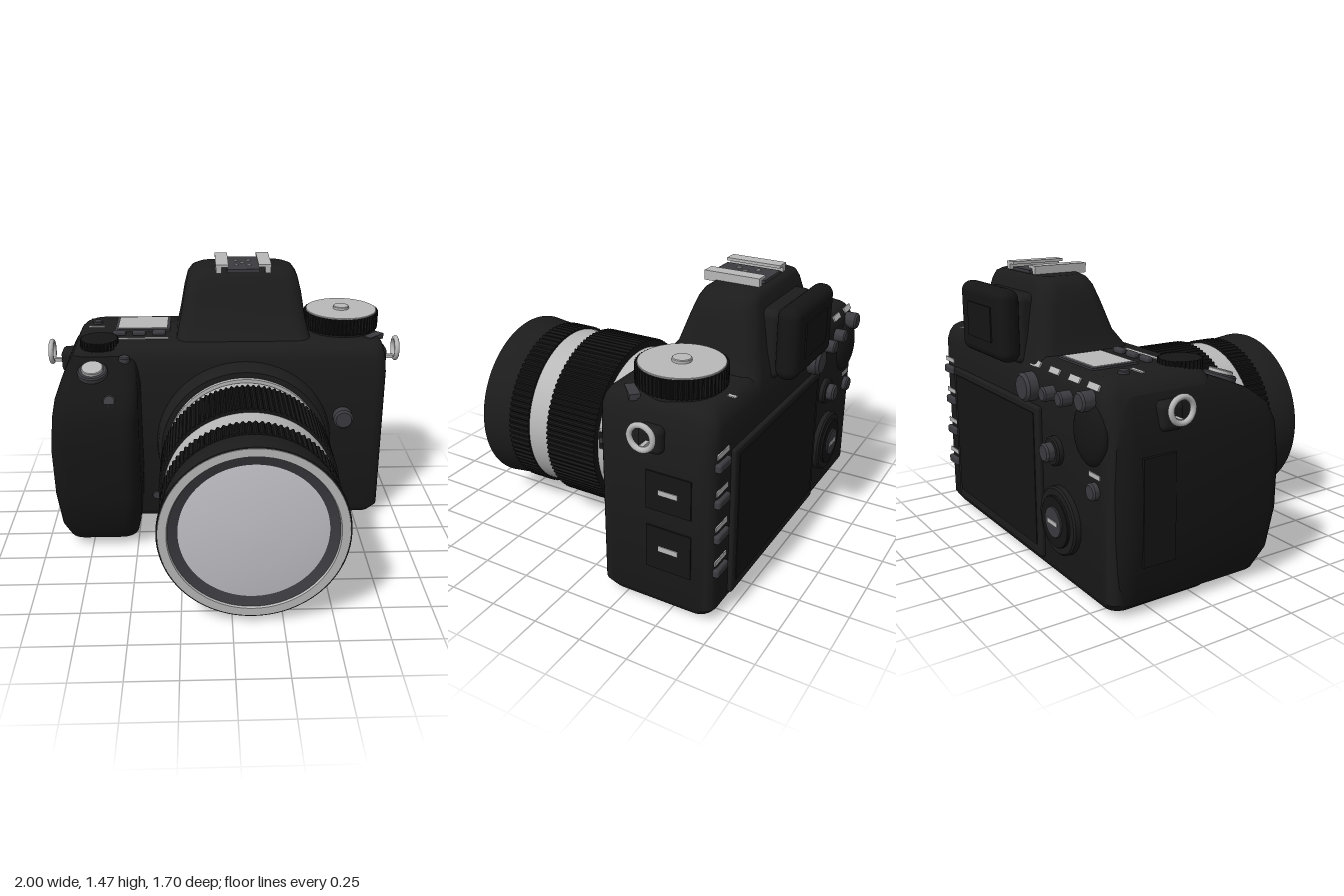
import * as THREE from 'three';
import { toCreasedNormals } from 'three/addons/utils/BufferGeometryUtils.js';
import { RoundedBoxGeometry } from 'three/addons/geometries/RoundedBoxGeometry.js';

const mat = (name, color) => Object.assign(new THREE.MeshStandardMaterial({ color }), { name });

// Closed body through rounded rectangles: [y, x0, x1, z0, z1]
function loft(sections, r, steps = 7) {
  const pos = [], idx = [], n = 4 * steps;
  for (const [y, x0, x1, z0, z1] of sections) {
    for (let c = 0; c < 4; c++) {
      const cx = c === 0 || c === 3 ? x1 - r : x0 + r;
      const cz = c < 2 ? z1 - r : z0 + r;
      for (let k = 0; k < steps; k++) {
        const a = (c + k / (steps - 1)) * Math.PI / 2;
        pos.push(cx + r * Math.cos(a), y, cz + r * Math.sin(a));
      }
    }
  }
  const last = sections.length - 1;
  for (let j = 0; j < last; j++) for (let i = 0; i < n; i++) {
    const a = j * n + i, b = j * n + (i + 1) % n;
    idx.push(a, a + n, b, b, a + n, b + n);
  }
  for (const j of [0, last]) {
    const [y, x0, x1, z0, z1] = sections[j], c = pos.length / 3;
    pos.push((x0 + x1) / 2, y, (z0 + z1) / 2);
    for (let i = 0; i < n; i++) {
      const a = j * n + i, b = j * n + (i + 1) % n;
      j ? idx.push(c, b, a) : idx.push(c, a, b);
    }
  }
  const g = new THREE.BufferGeometry();
  g.setAttribute('position', new THREE.Float32BufferAttribute(pos, 3));
  g.setIndex(idx);
  return toCreasedNormals(g, 0.7);
}

// Turned part from [radius, height] points, bottom to top
const turn = (pts, seg = 72) =>
  toCreasedNormals(new THREE.LatheGeometry(pts.map(p => new THREE.Vector2(...p)), seg), 0.5);

// Knob with slightly bevelled rim, standing on y = 0
const knob = (r, h, seg = 32) => {
  const b = Math.min(r, h) * 0.2;
  return turn([[0, 0], [r, 0], [r, h - b], [r - b, h], [0, h]], seg);
};

// Cylinder with ridges around the rim
function ribbed(r, h, ribs, depth) {
  const g = new THREE.CylinderGeometry(r, r, h, ribs * 4).toNonIndexed(), p = g.attributes.position;
  for (let i = 0; i < p.count; i++) {
    const x = p.getX(i), z = p.getZ(i);
    if (Math.hypot(x, z) < r / 2) continue;
    const k = Math.round(Math.atan2(z, x) / (Math.PI / 2 / ribs)) & 3;
    if (k > 1) p.setXYZ(i, x * (1 - depth / r), p.getY(i), z * (1 - depth / r));
  }
  g.computeVertexNormals();
  return g;
}

export function createModel() {
  const body = mat('body black', 0x1c1c1c), rubber = mat('rubber black', 0x151515);
  const silver = mat('silver', 0xb8b8b8), gray = mat('dark gray', 0x3b3b40);
  const glass = mat('glass', 0xc2c2c8);
  const root = new THREE.Group();
  root.name = 'camera';
  const add = (name, geo, m, x = 0, y = 0, z = 0, parent = root) => {
    const mesh = new THREE.Mesh(geo, m);
    mesh.name = name;
    mesh.position.set(x, y, z);
    parent.add(mesh);
    return mesh;
  };
  const box = (name, m, w, h, d, x, y, z) => add(name, new THREE.BoxGeometry(w, h, d), m, x, y, z);
  const round = (name, m, w, h, d, r, x, y, z) => add(name, new RoundedBoxGeometry(w, h, d, 4, r), m, x, y, z);
  const front = g => g.rotateX(Math.PI / 2), back = g => g.rotateX(-Math.PI / 2);

  // Main body, hand grip and viewfinder hump
  add('body', loft([
    [0.01, -0.82, 0.83, -0.66, -0.19], [0.025, -0.85, 0.86, -0.69, -0.16], [0.07, -0.88, 0.89, -0.72, -0.13],
    [0.9, -0.88, 0.89, -0.72, -0.13], [0.99, -0.85, 0.88, -0.72, -0.13], [1.03, -0.83, 0.87, -0.71, -0.14],
    [1.06, -0.8, 0.86, -0.69, -0.16], [1.075, -0.77, 0.84, -0.67, -0.19]], 0.07), body);
  add('handGrip', loft([
    [0.015, -0.82, -0.54, -0.64, 0.02], [0.05, -0.88, -0.5, -0.68, 0.13], [0.15, -0.91, -0.48, -0.69, 0.19],
    [0.35, -0.93, -0.47, -0.69, 0.22], [0.6, -0.935, -0.47, -0.69, 0.22], [0.78, -0.92, -0.47, -0.69, 0.21],
    [0.87, -0.905, -0.47, -0.69, 0.17], [0.94, -0.88, -0.48, -0.68, 0.08],
    [0.98, -0.86, -0.49, -0.67, -0.02], [1.02, -0.83, -0.51, -0.65, -0.12]], 0.085), rubber);
  add('viewfinderHump', loft([
    [1.0, -0.31, 0.51, -0.72, -0.14], [1.07, -0.27, 0.47, -0.71, -0.2], [1.16, -0.25, 0.447, -0.69, -0.27],
    [1.3, -0.225, 0.425, -0.67, -0.32], [1.38, -0.205, 0.405, -0.65, -0.35],
    [1.415, -0.18, 0.38, -0.64, -0.37], [1.43, -0.15, 0.35, -0.62, -0.39]], 0.08), body);
  round('eyepieceNeck', body, 0.42, 0.34, 0.12, 0.04, 0.1, 1.18, -0.68);
  round('eyecup', rubber, 0.48, 0.35, 0.11, 0.05, 0.1, 1.205, -0.785);
  box('eyepieceWindow', rubber, 0.26, 0.17, 0.008, 0.1, 1.205, -0.842);

  // Accessory shoe
  box('shoeBase', gray, 0.18, 0.02, 0.28, 0.1, 1.435, -0.47);
  for (const s of [-1, 1]) {
    box('shoeSide', silver, 0.03, 0.045, 0.28, 0.1 + s * 0.135, 1.445, -0.47);
    box('shoeRail', silver, 0.07, 0.014, 0.28, 0.1 + s * 0.117, 1.463, -0.47);
  }
  for (const [x, z] of [[0, 0], [-0.035, -0.05], [0.035, -0.05], [-0.035, 0.05], [0.035, 0.05]])
    add('shoeContact', knob(0.012, 0.006, 12), silver, 0.1 + x, 1.444, -0.47 + z);

  // Lens, turned about its own axis
  const lens = new THREE.Group();
  lens.name = 'lens';
  lens.position.set(0.1, 0.497, 0);
  root.add(lens);
  const lathe = (name, m, pts) => add(name, front(turn(pts, 96)), m, 0, 0, 0, lens);
  const ribs = (name, r, z0, z1, n) =>
    add(name, front(ribbed(r, z1 - z0, n, 0.01)), rubber, 0, 0, (z0 + z1) / 2, lens);
  lathe('mountBase', body, [[0.49, -0.14], [0.48, -0.07], [0.46, -0.04], [0.3, -0.04]]);
  lathe('mountRing', silver, [[0.43, -0.045], [0.43, -0.015], [0.38, -0.015]]);
  lathe('rearBarrel', silver, [[0.4, -0.02], [0.415, -0.005], [0.415, 0.14]]);
  ribs('zoomRing', 0.46, 0.13, 0.425, 100);
  lathe('middleBarrel', silver, [[0.435, 0.42], [0.435, 0.56]]);
  ribs('focusRing', 0.45, 0.555, 0.68, 90);
  lathe('hood', body, [[0.4, 0.675], [0.438, 0.68], [0.445, 0.72], [0.459, 0.84], [0.457, 0.85], [0.45, 0.851]]);
  lathe('frontRim', silver, [[0.452, 0.849], [0.45, 0.853], [0.41, 0.853], [0.404, 0.84]]);
  lathe('innerRing', gray, [[0.406, 0.843], [0.355, 0.825]]);
  lathe('frontGlass', glass, [[0.357, 0.826], [0.3, 0.833], [0.2, 0.841], [0.1, 0.846], [0, 0.848]]);
  for (const z of [0.038, 0.092]) {
    box('lensSwitchFrame', silver, 0.03, 0.105, 0.046, 0.51, 0.582, z);
    box('lensSwitchPlate', rubber, 0.034, 0.095, 0.036, 0.51, 0.582, z);
    box('lensSwitch', gray, 0.03, 0.03, 0.026, 0.52, 0.585, z);
  }

  // Mode dial on the left shoulder
  add('dialBase', knob(0.19, 0.04, 48), body, 0.66, 1.06, -0.44);
  add('dialRim', ribbed(0.21, 0.09, 60, 0.008), rubber, 0.66, 1.135, -0.44);
  add('dialCap', knob(0.198, 0.008, 64), silver, 0.66, 1.179, -0.44);
  add('dialButton', knob(0.045, 0.018), silver, 0.66, 1.185, -0.44);
  box('dialLever', gray, 0.12, 0.03, 0.05, 0.825, 1.065, -0.285).rotation.y = 0.75;
  box('shoulderMark', silver, 0.02, 0.006, 0.04, 0.66, 1.072, -0.69);

  // Top plate controls on the right shoulder
  box('topDisplayFrame', gray, 0.31, 0.012, 0.24, -0.465, 1.078, -0.52);
  box('topDisplay', silver, 0.28, 0.008, 0.205, -0.465, 1.084, -0.52);
  for (const x of [-0.59, -0.48, -0.37]) round('topButton', gray, 0.075, 0.03, 0.035, 0.012, x, 1.085, -0.34);
  box('topLabel', silver, 0.29, 0.006, 0.022, -0.46, 1.076, -0.27);
  add('topDot', knob(0.027, 0.02), gray, -0.73, 1.07, -0.55);
  box('topMark', silver, 0.09, 0.006, 0.02, -0.73, 1.077, -0.48);
  add('frontDial', ribbed(0.105, 0.045, 30, 0.008), rubber, -0.69, 1.075, -0.22);

  // Shutter release and grip buttons
  const shutter = new THREE.Group();
  shutter.name = 'shutterRelease';
  shutter.position.set(-0.71, 0.965, -0.01);
  shutter.rotation.x = 0.3;
  root.add(shutter);
  add('shutterCollar', knob(0.08, 0.035), gray, 0, 0, 0, shutter);
  add('shutterButton', knob(0.058, 0.02), silver, 0, 0.033, 0, shutter);
  add('gripButton', knob(0.034, 0.04), gray, -0.615, 0.86, 0.125).rotation.x = 0.9;
  add('shoulderButton', knob(0.03, 0.035), gray, -0.55, 0.995, -0.11);
  add('lensRelease', front(knob(0.055, 0.07)), gray, 0.65, 0.655, -0.14);
  add('frontDot', front(knob(0.025, 0.015)), gray, -0.4, 0.17, -0.135);

  // Strap lugs and rings
  for (const s of [-1, 1]) {
    round('strapLug', body, 0.1, 0.13, 0.12, 0.03, s * 0.88, 0.905, -0.425);
    box('strapPin', silver, 0.07, 0.02, 0.02, s * 0.95, 0.9, -0.425);
    add('strapRing', new THREE.TorusGeometry(0.058, 0.014, 10, 36).rotateY(Math.PI / 2), silver, s * 0.985, 0.95, -0.425);
  }

  // Side doors
  for (const [y, h, ly] of [[0.645, 0.195, 0.645], [0.347, 0.225, 0.35]]) {
    box('portDoor', rubber, 0.012, h, 0.23, 0.891, y, -0.505);
    box('portLabel', silver, 0.006, 0.026, 0.1, 0.898, ly, -0.505);
  }
  box('cardDoor', rubber, 0.016, 0.5, 0.17, -0.93, 0.5, -0.5);

  // Rear screen
  round('screenFrame', body, 1.0, 0.76, 0.04, 0.012, 0.215, 0.465, -0.722);
  box('screen', rubber, 0.92, 0.67, 0.006, 0.215, 0.475, -0.743);

  // Rear buttons and labels
  for (const y of [0.87, 0.69, 0.51, 0.33]) {
    box('sideLabel', silver, 0.11, 0.024, 0.006, 0.8, y, -0.722);
    round('sideButton', gray, 0.11, 0.045, 0.035, 0.012, 0.8, y - 0.055, -0.722);
  }
  for (const [x, y, r] of [[-0.2, 0.93, 0.07], [-0.4, 0.94, 0.035], [-0.55, 0.95, 0.035], [-0.73, 0.98, 0.045]])
    add('rearButton', back(knob(r, 0.07)), gray, x, y, -0.71);
  for (const x of [-0.22, -0.4, -0.58, -0.74])
    box('rearLabel', silver, 0.09, 0.03, 0.008, x, 1.04, -0.707).rotation.x = 0.5;
  add('thumbRest', new THREE.SphereGeometry(1, 32, 20).scale(0.13, 0.15, 0.05), rubber, -0.72, 0.83, -0.71);
  add('joystickBase', back(knob(0.07, 0.04)), body, -0.42, 0.67, -0.71);
  add('joystick', back(knob(0.045, 0.05)), gray, -0.42, 0.67, -0.74);
  box('menuLabel', silver, 0.09, 0.022, 0.006, -0.76, 0.65, -0.722);
  add('menuButton', back(knob(0.04, 0.04)), gray, -0.76, 0.58, -0.71);
  add('controlWheelBase', back(knob(0.165, 0.045, 48)), body, -0.47, 0.345, -0.71);
  add('controlWheel', back(knob(0.125, 0.015, 48)), rubber, -0.47, 0.345, -0.753);
  add('wheelButton', back(knob(0.075, 0.015)), gray, -0.47, 0.345, -0.762);
  box('wheelLabel', silver, 0.09, 0.022, 0.006, -0.47, 0.345, -0.778);

  // Underside tripod socket
  add('tripodSocket', new THREE.CylinderGeometry(0.065, 0.065, 0.012, 32), silver, 0.1, 0.006, -0.42);
  return root;
}
